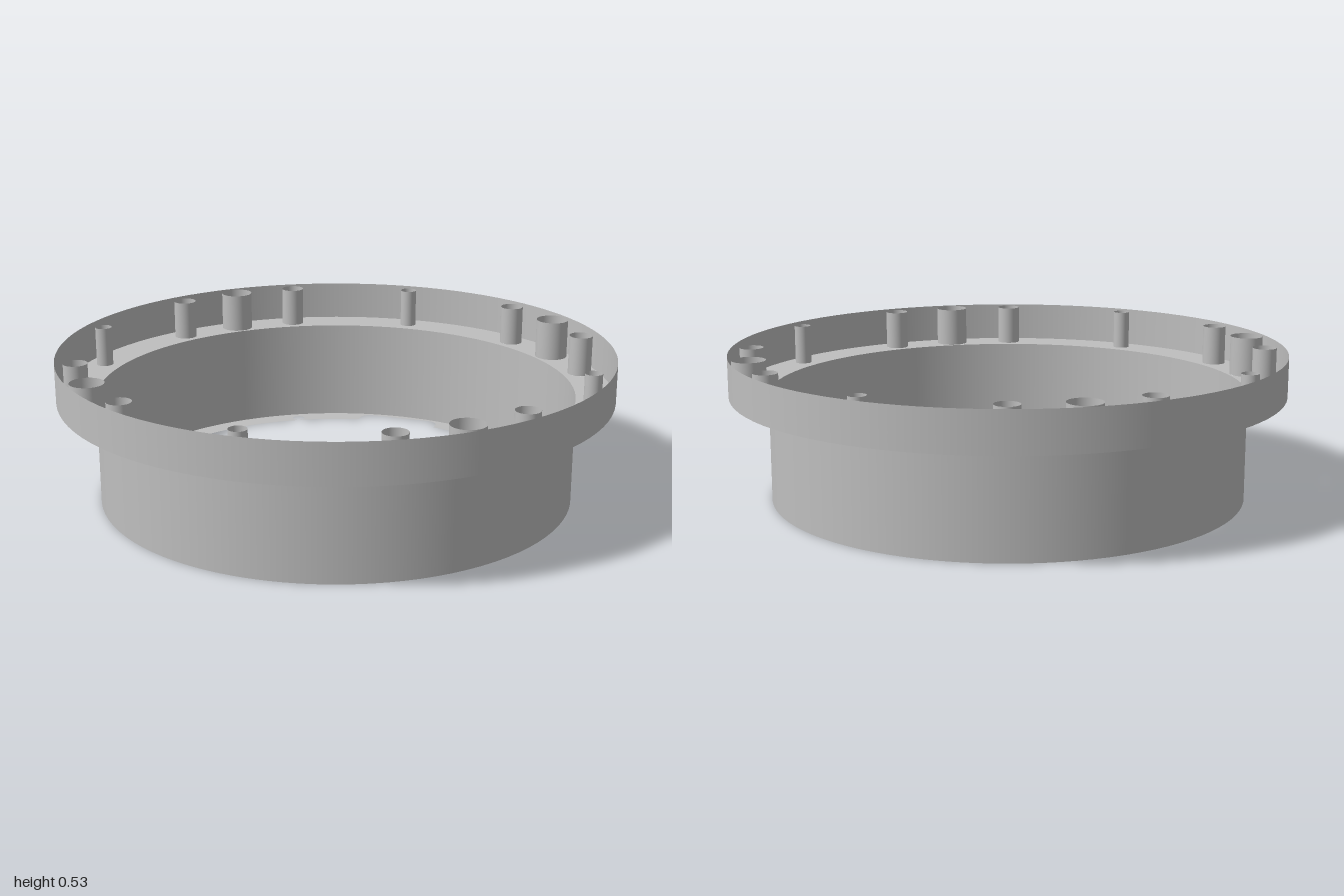
import * as THREE from 'three';

const OUTER = 1, WALL = 0.86, INNER = 0.785;
const FLOOR = 0.385, TOP = 0.53, SEGS = 96;

export function createModel() {
  const group = new THREE.Group();
  const grey = new THREE.MeshStandardMaterial({ color: 0xbfbfbf, side: THREE.DoubleSide });
  grey.name = 'plain grey';

  const add = (name, geometry, x = 0, y = 0, z = 0) => {
    const mesh = new THREE.Mesh(geometry, grey);
    mesh.name = name;
    mesh.position.set(x, y, z);
    group.add(mesh);
  };
  // Open upright tube from y0 to y1
  const tube = (name, r, y0, y1, x = 0, z = 0, segs = SEGS) =>
    add(name, new THREE.CylinderGeometry(r, r, y1 - y0, segs, 1, true), x, (y0 + y1) / 2, z);
  const circle = (r, x = 0, y = 0) => new THREE.Path().absarc(x, y, r, 0, Math.PI * 2, true);
  const disc = (r) => new THREE.Shape().absarc(0, 0, r, 0, Math.PI * 2, false);
  // Flat sheet facing up
  const sheet = (name, shape, y) =>
    add(name, new THREE.ShapeGeometry(shape, SEGS / 2).rotateX(-Math.PI / 2), 0, y, 0);

  // Mirrors [x, z, radius] over both axes, without repeats on an axis
  const mirror = (list) => list.flatMap(([x, z, r]) =>
    (x ? [x, -x] : [0]).flatMap((mx) => (z ? [z, -z] : [0]).map((mz) => [mx, mz, r])));

  // Outer rim and lower drum
  tube('outerRim', OUTER, FLOOR, TOP);
  tube('drumWall', WALL, 0, FLOOR);

  // Flange floor with a hollow boss over every hole
  const bosses = mirror([
    [0, 0.93, 0.031], [0.93, 0, 0.031],
    [0.802, 0.465, 0.043], [0.465, 0.803, 0.043],
    [0.656, 0.658, 0.06],
  ]);
  const flange = disc(OUTER);
  flange.holes.push(circle(WALL));
  for (const [x, z, r] of bosses) {
    flange.holes.push(circle(r, x, -z));
    tube('boss', r, FLOOR, TOP, x, z, 32);
  }
  sheet('flangeFloor', flange, FLOOR);

  // Bottom ledge: central opening with two rounded notches, plus small holes
  const w = 0.163, d = 0.838, c = 0.05;
  const a = Math.asin(w / INNER);
  const opening = new THREE.Path();
  const notch = (s) => {
    opening.lineTo(s * w, s * (d - c));
    opening.quadraticCurveTo(s * w, s * d, s * (w - c), s * d);
    opening.lineTo(-s * (w - c), s * d);
    opening.quadraticCurveTo(-s * w, s * d, -s * w, s * (d - c));
  };
  opening.moveTo(INNER * Math.sin(a), INNER * Math.cos(a));
  notch(1);
  opening.absarc(0, 0, INNER, Math.PI / 2 + a, Math.PI * 1.5 - a, false);
  notch(-1);
  opening.absarc(0, 0, INNER, -Math.PI / 2 + a, Math.PI / 2 - a, false);

  const ledge = disc(WALL);
  ledge.holes.push(opening);
  for (const [x, z, r] of mirror([[0.811, 0, 0.022], [0.405, 0.702, 0.024]])) {
    ledge.holes.push(circle(r, x, -z));
  }
  sheet('bottomLedge', ledge, 0);

  return group;
}
